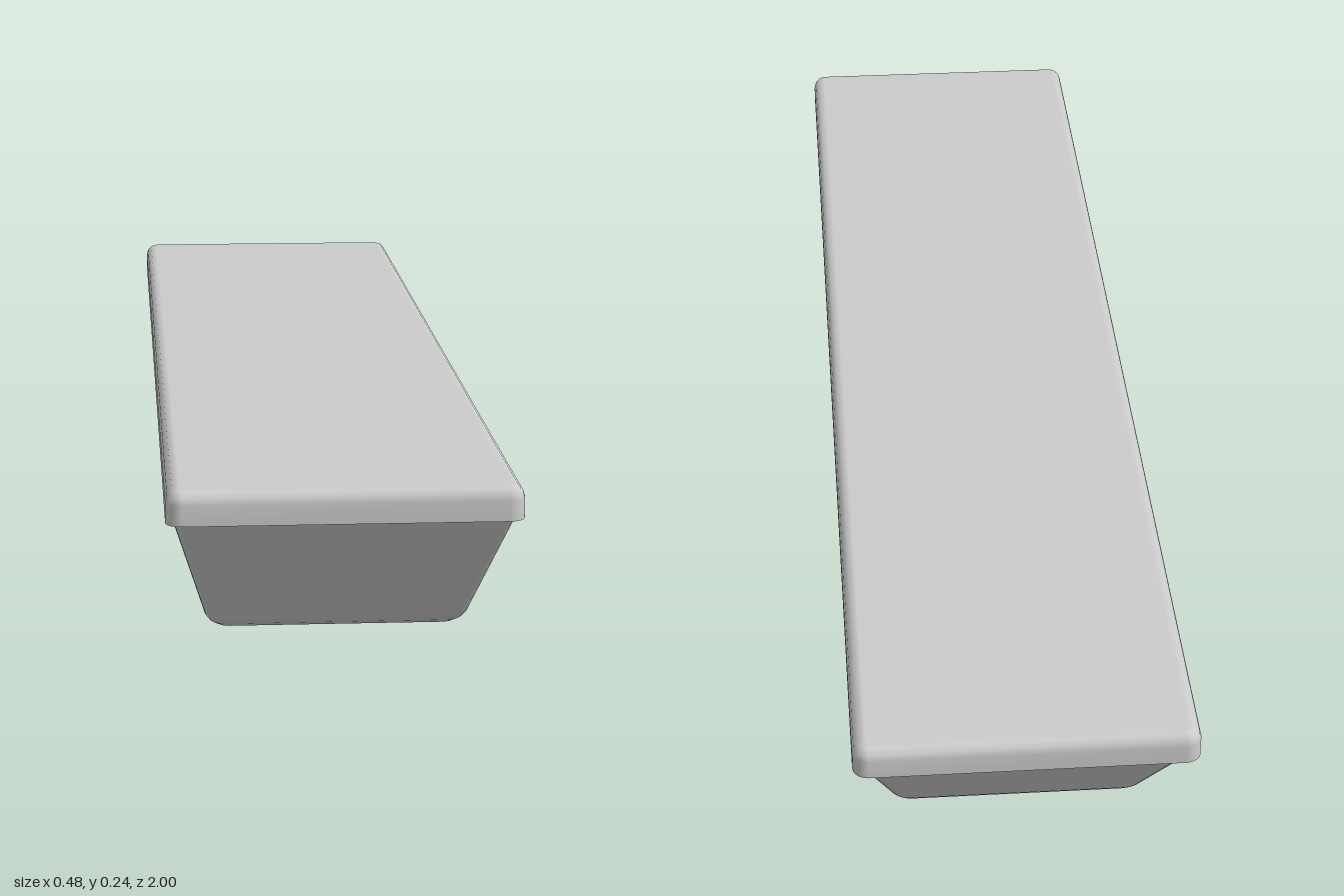
import * as THREE from 'three';

const CORNER_STEPS = 5;

// Rounded rectangle ring at height y: half sizes hx, hz and corner radius r
function ring([y, hx, hz, r]) {
  const points = [];
  for (let q = 0; q < 4; q++) {
    const sx = q === 0 || q === 3 ? 1 : -1;
    const sz = q < 2 ? 1 : -1;
    for (let i = 0; i <= CORNER_STEPS; i++) {
      const a = (q + i / CORNER_STEPS) * Math.PI / 2;
      points.push([sx * (hx - r) + r * Math.cos(a), y, sz * (hz - r) + r * Math.sin(a)]);
    }
  }
  return points;
}

// Skin a stack of rings from bottom to top; a repeated ring makes a sharp edge
function loft(name, sections, material) {
  const rings = sections.map(ring);
  const n = rings[0].length;
  const index = [];
  for (let k = 0; k < rings.length - 1; k++) {
    for (let i = 0; i < n; i++) {
      const a = k * n + i, b = k * n + (i + 1) % n;
      index.push(a, a + n, b, b, a + n, b + n);
    }
  }
  const geometry = new THREE.BufferGeometry();
  geometry.setAttribute('position', new THREE.Float32BufferAttribute(rings.flat(2), 3));
  geometry.setIndex(index);
  geometry.computeVertexNormals();
  const mesh = new THREE.Mesh(geometry, material);
  mesh.name = name;
  return mesh;
}

export function createModel() {
  const group = new THREE.Group();
  group.name = 'coveredTray';
  const grey = new THREE.MeshStandardMaterial({ color: 0xcccccc, side: THREE.DoubleSide });

  // Tapered tub with a rounded bottom edge
  group.add(loft('tub', [
    [0, 0, 0, 0],
    [0, 0.153, 0.812, 0.012],
    [0.003, 0.165, 0.828, 0.018],
    [0.010, 0.175, 0.841, 0.023],
    [0.021, 0.182, 0.852, 0.026],
    [0.192, 0.228, 0.99, 0.026],
  ], grey));

  // Overhanging lid with a sharp lower edge and a rounded upper edge
  group.add(loft('lid', [
    [0.192, 0, 0, 0],
    [0.192, 0.238, 1, 0.022],
    [0.192, 0.238, 1, 0.022],
    [0.220, 0.238, 1, 0.022],
    [0.229, 0.2355, 0.9975, 0.0195],
    [0.236, 0.229, 0.991, 0.013],
    [0.239, 0.219, 0.981, 0.004],
    [0.239, 0, 0, 0],
  ], grey));

  return group;
}
